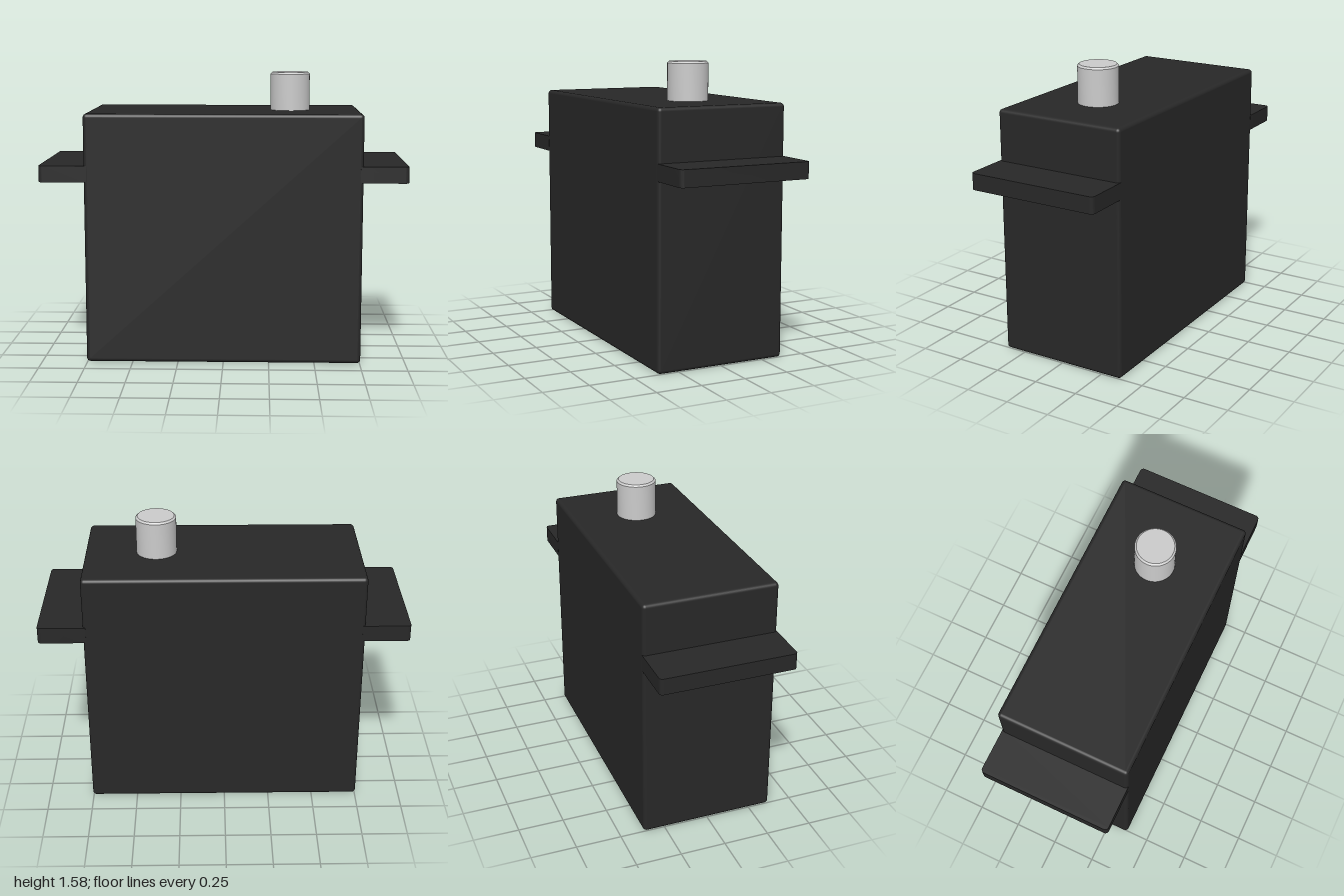
import * as THREE from 'three';
import { RoundedBoxGeometry } from 'three/addons/geometries/RoundedBoxGeometry.js';
import { toCreasedNormals } from 'three/addons/utils/BufferGeometryUtils.js';

const HALF_DEPTH = 0.37;

// Mounting tab: flat plate, rounded at its two outer corners, from x = 0.74 to x = 1
function tabGeometry() {
  const inner = 0.74, outer = 1, r = 0.02, d = HALF_DEPTH;
  const shape = new THREE.Shape();
  shape.moveTo(inner, -d);
  shape.lineTo(outer - r, -d);
  shape.absarc(outer - r, -d + r, r, -Math.PI / 2, 0);
  shape.lineTo(outer, d - r);
  shape.absarc(outer - r, d - r, r, 0, Math.PI / 2);
  shape.lineTo(inner, d);
  shape.closePath();
  const geometry = new THREE.ExtrudeGeometry(shape, { depth: 0.09, bevelEnabled: false, curveSegments: 5 });
  geometry.rotateX(-Math.PI / 2);
  return toCreasedNormals(geometry, 0.6);
}

export function createModel() {
  const model = new THREE.Group();
  const black = new THREE.MeshStandardMaterial({ color: 0x282828 });
  const grey = new THREE.MeshStandardMaterial({ color: 0xcccccc });

  const add = (name, geometry, material, x, y) => {
    const mesh = new THREE.Mesh(geometry, material);
    mesh.name = name;
    mesh.position.set(x, y, 0);
    model.add(mesh);
    return mesh;
  };

  // Main housing with softly rounded edges
  add('housing', new RoundedBoxGeometry(1.51, 1.37, 2 * HALF_DEPTH, 4, 0.02), black, 0, 0.685);

  // Mounting tabs on both ends
  add('leftMountingTab', tabGeometry(), black, 0, 1);
  add('rightMountingTab', tabGeometry(), black, 0, 1).rotation.y = Math.PI;

  // Output shaft with a small chamfer at the top
  const profile = [[0, 0], [0.11, 0], [0.11, 0.225], [0.1, 0.235], [0, 0.235]]
    .map(([r, y]) => new THREE.Vector2(r, y));
  add('outputShaft', toCreasedNormals(new THREE.LatheGeometry(profile, 48), 0.5), grey, 0.365, 1.345);

  return model;
}
